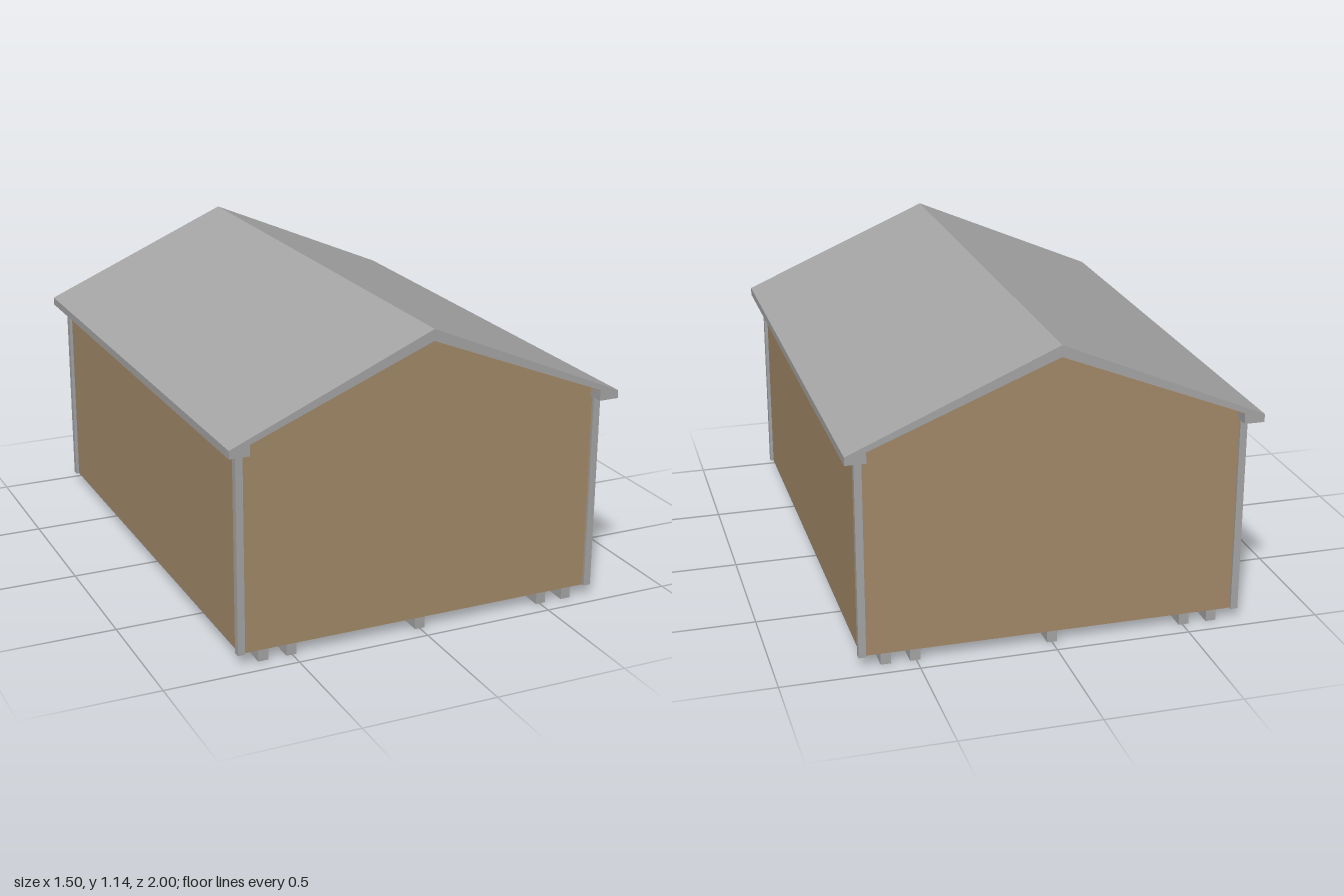
import * as THREE from 'three';

export function createModel() {
  const model = new THREE.Group();
  const steel = new THREE.MeshStandardMaterial({ color: 0xa6a6a6, name: 'grey steel' });
  const board = new THREE.MeshStandardMaterial({ color: 0xa48a69, name: 'tan board' });

  const W = 0.697, L = 0.938, base = 0.043, eave = 0.79; // wall half width, half length, heights
  const roofIn = 0.675, soffitY = 0.83, ridgeY = 1.10;

  const add = (name, geometry, material, x = 0, y = 0, z = 0) => {
    const mesh = new THREE.Mesh(geometry, material);
    mesh.name = name;
    mesh.position.set(x, y, z);
    model.add(mesh);
    return mesh;
  };
  // Outline in the xy plane, extruded along z and centred on z = 0
  const extrude = (points, depth) => {
    const shape = new THREE.Shape(points.map(([x, y]) => new THREE.Vector2(x, y)));
    return new THREE.ExtrudeGeometry(shape, { depth, bevelEnabled: false }).translate(0, 0, -depth / 2);
  };

  // Roof: pitched sheet with a boxed edge along each eave
  add('roof', extrude([
    [-0.75, eave], [-roofIn, eave], [-roofIn, soffitY], [0, ridgeY], [roofIn, soffitY],
    [roofIn, eave], [0.75, eave], [0.75, 0.82], [0, 1.142], [-0.75, 0.82],
  ], 2), steel);

  // Ceiling lining under both slopes
  const t = 0.003;
  add('ceilingLining', extrude([
    [-roofIn, soffitY - t], [0, ridgeY - t], [roofIn, soffitY - t],
    [roofIn, soffitY], [0, ridgeY], [-roofIn, soffitY],
  ], 1.998), board);

  // Gable walls and side walls, as thin panels around an open floor
  const wallT = 0.004;
  const gable = extrude([
    [-W, base], [W, base], [W, eave], [roofIn, eave], [roofIn, soffitY],
    [0, ridgeY], [-roofIn, soffitY], [-roofIn, eave], [-W, eave],
  ], wallT);
  for (const s of [1, -1]) {
    add(s > 0 ? 'frontWall' : 'backWall', gable, board, 0, 0, s * (L - wallT / 2));
    add(s > 0 ? 'leftWall' : 'rightWall',
      new THREE.BoxGeometry(wallT, eave - base, 2 * L - 2 * wallT), board,
      s * (W - wallT / 2), (eave + base) / 2, 0);
  }

  // L-shaped corner trims wrapped around the outside of the walls
  const trim = 0.027, thick = 0.012, h = eave - base, midY = (eave + base) / 2;
  for (const sx of [1, -1]) for (const sz of [1, -1]) {
    add('cornerTrimFace', new THREE.BoxGeometry(trim, h, thick), steel,
      sx * (W + thick - trim / 2), midY, sz * (L + thick / 2));
    add('cornerTrimSide', new THREE.BoxGeometry(thick, h, trim - thick), steel,
      sx * (W + thick / 2), midY, sz * (L - (trim - thick) / 2));
  }

  // Skids running the length of the building
  for (const x of [-0.61, -0.504, 0, 0.504, 0.61]) {
    add('skid', new THREE.BoxGeometry(0.038, base, 2 * L), steel, x, base / 2, 0);
  }
  return model;
}
